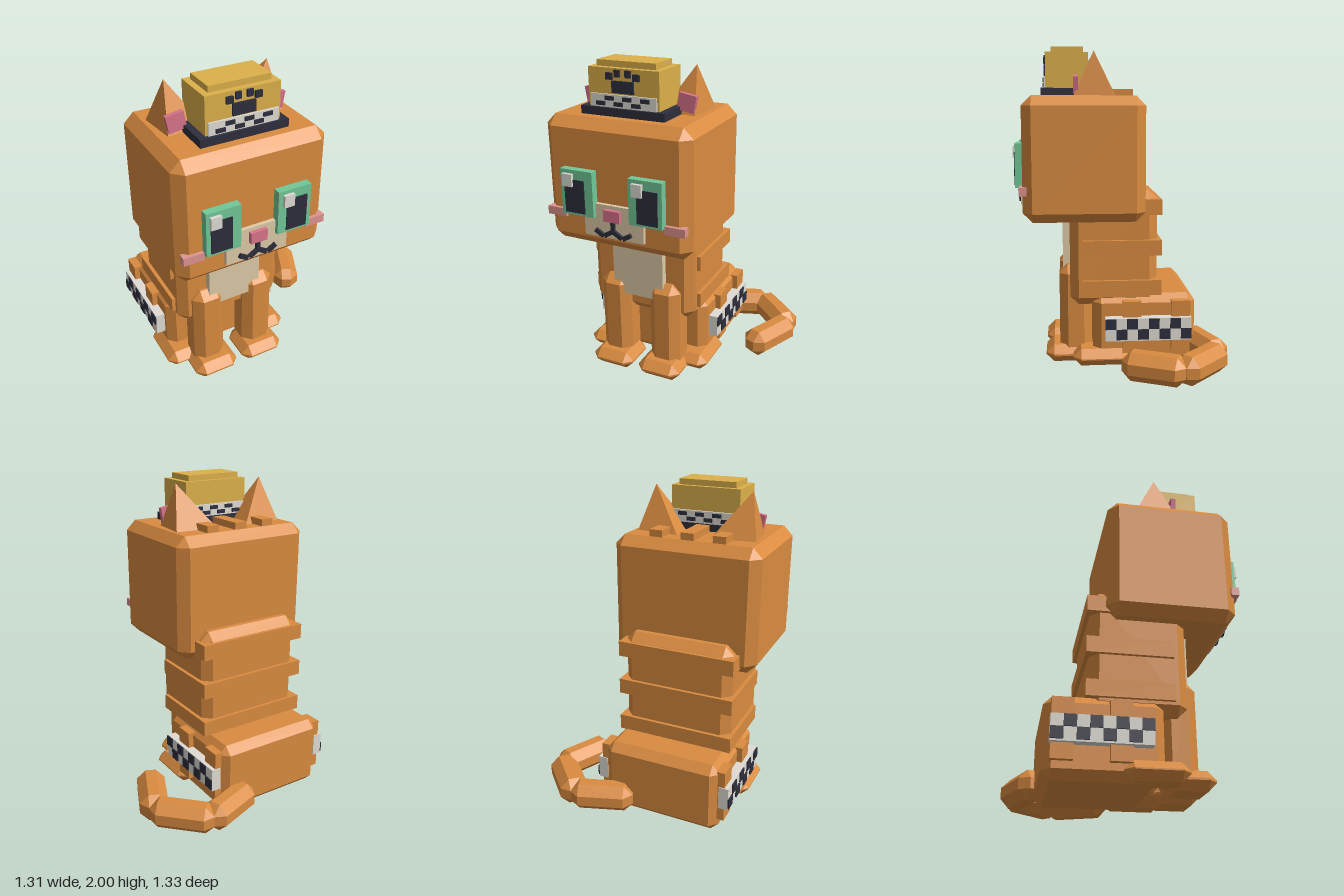
import * as THREE from 'three';
import { ConvexGeometry } from 'three/addons/geometries/ConvexGeometry.js';

const CX = -0.198; // symmetry plane of the cat (the tail swings out to +x)

function material(name, color) {
  const m = new THREE.MeshStandardMaterial({ color });
  m.name = name;
  return m;
}

// Box with all edges cut at 45 degrees
function chamferBox(w, h, d, b) {
  const pts = [];
  for (const sx of [-1, 1]) for (const sy of [-1, 1]) for (const sz of [-1, 1]) {
    const x = w / 2, y = h / 2, z = d / 2;
    pts.push(new THREE.Vector3(sx * x, sy * (y - b), sz * (z - b)));
    pts.push(new THREE.Vector3(sx * (x - b), sy * y, sz * (z - b)));
    pts.push(new THREE.Vector3(sx * (x - b), sy * (y - b), sz * z));
  }
  return new ConvexGeometry(pts);
}

export function createModel() {
  const orange = material('orange fur', 0xd98b40);
  const cream = material('cream fur', 0xdfcba8);
  const white = material('white', 0xe0dcd4);
  const dark = material('dark navy', 0x2e2e3e);
  const green = material('green', 0x72c798);
  const pink = material('pink', 0xd9748a);
  const blush = material('blush', 0xe09490);
  const gold = material('gold', 0xdcb04a);

  const model = new THREE.Group();
  model.name = 'cat';

  const add = (name, geometry, mat) => {
    const mesh = new THREE.Mesh(geometry, mat);
    mesh.name = name;
    model.add(mesh);
    return mesh;
  };
  // Box from ranges on each axis, with optional chamfer
  const box = (name, mat, [x0, x1], [y0, y1], [z0, z1], bevel = 0) => {
    const s = [x1 - x0, y1 - y0, z1 - z0];
    const mesh = add(name, bevel ? chamferBox(...s, bevel) : new THREE.BoxGeometry(...s), mat);
    mesh.position.set((x0 + x1) / 2, (y0 + y1) / 2, (z0 + z1) / 2);
    return mesh;
  };
  // The same box on both sides; u is measured outward from the symmetry plane
  const pair = (name, mat, [u0, u1], y, z, bevel = 0) => {
    box(name + 'Right', mat, [CX - u1, CX - u0], y, z, bevel);
    box(name + 'Left', mat, [CX + u0, CX + u1], y, z, bevel);
  };
  const middle = (name, mat, half, y, z, bevel = 0) =>
    box(name, mat, [CX - half, CX + half], y, z, bevel);

  // Head, torso and haunches
  middle('head', orange, 0.463, [0.935, 1.7], [-0.155, 0.592], 0.06);
  middle('torso', orange, 0.351, [0.39, 1.12], [-0.24, 0.31], 0.053);
  middle('haunches', orange, 0.378, [0.01, 0.462], [-0.48, 0.168], 0.05);
  middle('chestPatch', cream, 0.173, [0.52, 1.0], [0.3, 0.355]);

  // Raised stripes on the back, thighs and crown of the head
  for (const y of [0.46, 0.715, 0.97]) {
    middle('backStripe', orange, 0.374, [y, y + 0.096], [-0.262, 0.232]);
  }
  for (const z of [-0.44, -0.132]) {
    pair('thighStripe', orange, [0.36, 0.412], [0.1, 0.43], [z, z + 0.118]);
  }
  middle('headStripeMiddle', orange, 0.042, [1.69, 1.742], [-0.09, 0.16]);
  pair('headStripe', orange, [0.16, 0.241], [1.69, 1.742], [-0.09, 0.033]);

  // Legs and paws
  pair('frontLeg', orange, [0.07, 0.276], [0.02, 0.63], [0.17, 0.378], 0.053);
  pair('frontPaw', orange, [0.022, 0.31], [0.0, 0.112], [0.19, 0.467], 0.05);
  pair('hindPaw', orange, [0.2, 0.43], [0.012, 0.12], [-0.06, 0.295], 0.05);

  // Chequered panels on the flanks
  pair('flankPanel', white, [0.375, 0.437], [0.185, 0.33], [-0.445, 0.095]);
  const cell = 0.54 / 8;
  for (let i = 0; i < 8; i++) {
    const z = 0.095 - i * cell;
    const y = i % 2 ? 0.195 : 0.262;
    pair('flankCheck', dark, [0.436, 0.445], [y, y + 0.065], [z - cell, z]);
  }

  // Tail: three chamfered bars, given as ground-plane end points
  const bars = [
    [-0.015, -0.47, 0.36, -0.6],
    [0.32, -0.61, 0.605, -0.325],
    [0.594, -0.36, 0.432, 0.0],
  ];
  for (const [x0, z0, x1, z1] of bars) {
    const dx = x1 - x0, dz = z1 - z0;
    const bar = add('tailSegment', chamferBox(0.176, 0.176, Math.hypot(dx, dz), 0.055), orange);
    bar.position.set((x0 + x1) / 2, 0.117, (z0 + z1) / 2);
    bar.rotation.y = Math.atan2(dx, dz);
  }

  // Ears: leaning four-sided pyramids with a pink plate in front
  for (const s of [-1, 1]) {
    const corners = [
      [0.382, 1.69, 0.03], [0.1, 1.69, 0.0], [0.355, 1.69, 0.283], [0.12, 1.69, 0.25],
      [0.312, 1.968, 0.155],
    ];
    const side = s < 0 ? 'Right' : 'Left';
    add('ear' + side, new ConvexGeometry(
      corners.map(([u, y, z]) => new THREE.Vector3(CX + s * u, y, z))), orange);
    const inner = add('innerEar' + side, new THREE.BoxGeometry(0.105, 0.1, 0.03), pink);
    inner.position.set(CX + s * 0.303, 1.77, 0.265);
    inner.rotation.z = -s * 0.17;
  }

  // Eyes: the highlights sit on the same side of both
  pair('eyeFrame', green, [0.115, 0.323], [1.14, 1.412], [0.58, 0.64]);
  pair('pupil', dark, [0.168, 0.297], [1.155, 1.355], [0.635, 0.646]);
  for (const x of [-0.5, -0.055]) {
    box('eyeHighlight', white, [x, x + 0.064], [1.315, 1.39], [0.63, 0.66]);
  }

  // Muzzle, nose, mouth and cheeks
  middle('muzzle', cream, 0.192, [1.02, 1.222], [0.58, 0.615]);
  middle('nose', pink, 0.052, [1.13, 1.2], [0.6, 0.64]);
  middle('mouthCentre', dark, 0.012, [1.055, 1.13], [0.61, 0.632]);
  for (const s of [-1, 1]) {
    for (const [u, y, tilt] of [[0.03, 1.052, -0.55], [0.09, 1.05, 0.55]]) {
      const line = add('mouthLine', new THREE.BoxGeometry(0.06, 0.026, 0.022), dark);
      line.position.set(CX + s * u, y, 0.621);
      line.rotation.z = s * tilt;
    }
  }
  pair('cheek', blush, [0.32, 0.446], [1.105, 1.155], [0.566, 0.613]);

  // Hat
  middle('hatBrim', dark, 0.264, [1.695, 1.747], [0.17, 0.477]);
  middle('hatCrown', gold, 0.222, [1.74, 1.965], [0.185, 0.45]);
  middle('hatTop', gold, 0.185, [1.96, 2.0], [0.215, 0.415]);
  middle('hatBand', white, 0.208, [1.745, 1.82], [0.17, 0.461]);
  for (let i = 0; i < 6; i++) {
    const x = CX - 0.168 + i * 0.056;
    const y = i % 2 ? 1.788 : 1.757;
    box('bandCheckFront', dark, [x, x + 0.056], [y, y + 0.023], [0.46, 0.469]);
    box('bandCheckBack', dark, [x, x + 0.056], [y, y + 0.023], [0.162, 0.171]);
  }

  // Paw print on the hat front
  middle('pawPad', dark, 0.068, [1.83, 1.897], [0.449, 0.464]);
  pair('pawToeInner', dark, [0.017, 0.051], [1.918, 1.957], [0.449, 0.464]);
  pair('pawToeOuter', dark, [0.064, 0.105], [1.902, 1.94], [0.449, 0.464]);

  return model;
}
